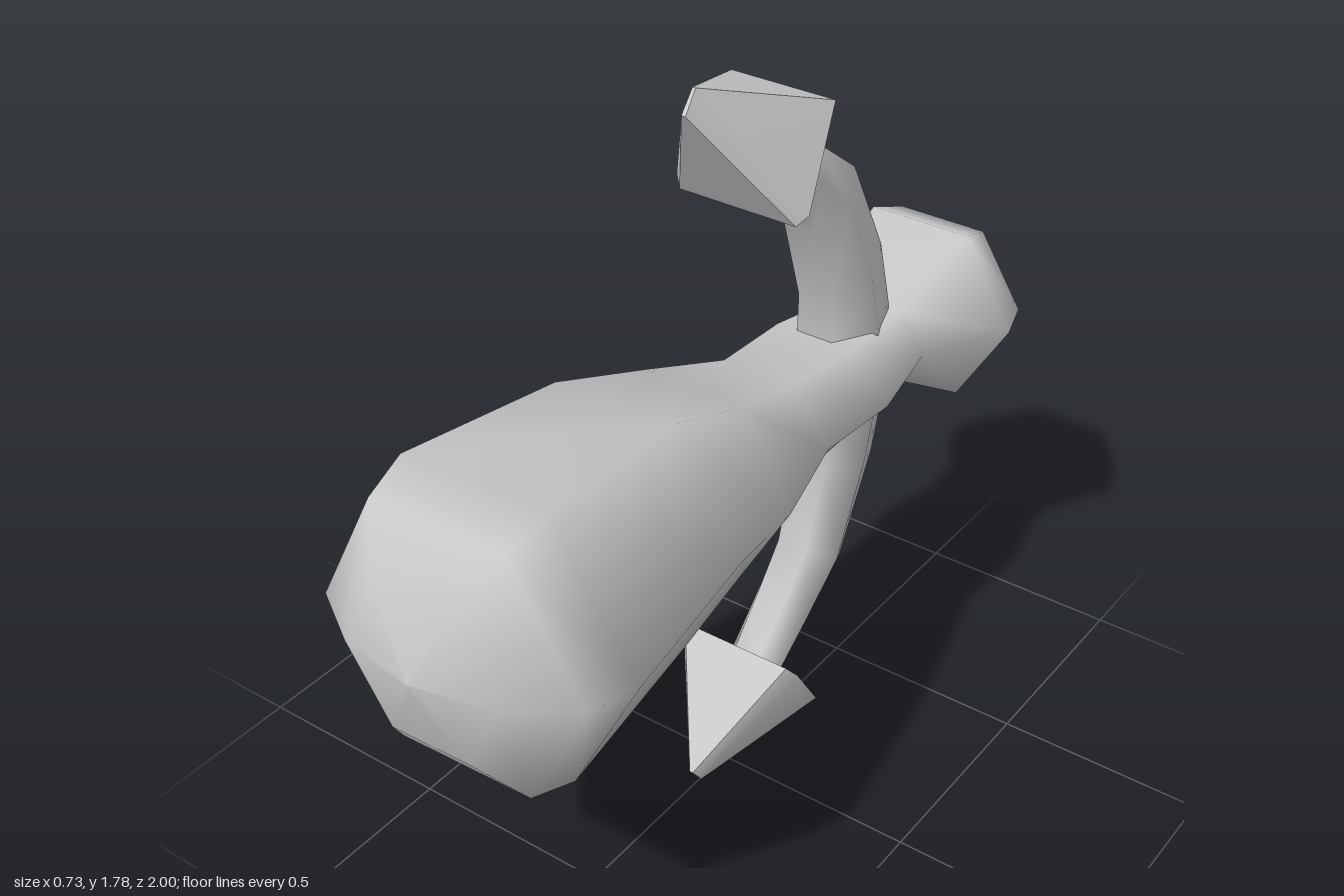
import * as THREE from 'three';
import { mergeVertices, toCreasedNormals } from 'three/addons/utils/BufferGeometryUtils.js';

const V = (x, y, z) => new THREE.Vector3(x, y, z);
const MID_Y = 0.89;

// Skin a list of equal-sized rings and close both ends with a fan.
function loft(rings) {
  const n = rings[0].length;
  const collapse = (ring) => {
    const c = V(0, 0, 0);
    ring.forEach((p) => c.addScaledVector(p, 1 / n));
    return ring.map(() => c);
  };
  const all = [collapse(rings[0]), ...rings, collapse(rings[rings.length - 1])];
  const pos = [];
  const tri = (a, b, c) => {
    if (a.distanceTo(b) > 1e-6 && b.distanceTo(c) > 1e-6 && c.distanceTo(a) > 1e-6) {
      for (const p of [a, b, c]) pos.push(p.x, p.y, p.z);
    }
  };
  for (let i = 0; i < all.length - 1; i++) {
    for (let j = 0; j < n; j++) {
      const k = (j + 1) % n;
      tri(all[i][j], all[i][k], all[i + 1][k]);
      tri(all[i][j], all[i + 1][k], all[i + 1][j]);
    }
  }
  const geo = new THREE.BufferGeometry();
  geo.setAttribute('position', new THREE.Float32BufferAttribute(pos, 3));
  const welded = mergeVertices(geo, 1e-5);
  welded.computeVertexNormals();
  return welded;
}

// Six-sided ring: half-extent rx along a, flat-to-flat half-extent rb along b.
function hexRing(center, a, b, rx, rb, twist = 0) {
  return Array.from({ length: 6 }, (_, i) => {
    const t = (i * Math.PI) / 3 + twist;
    return center.clone()
      .addScaledVector(a, Math.cos(t) * rx)
      .addScaledVector(b, (Math.sin(t) * rb) / 0.866);
  });
}

export function createModel() {
  const group = new THREE.Group();
  const mat = new THREE.MeshStandardMaterial({ color: 0xcccccc });
  const X = V(1, 0, 0), Y = V(0, 1, 0);
  const add = (parent, name, geo) => {
    const mesh = new THREE.Mesh(geo, mat);
    mesh.name = name;
    parent.add(mesh);
  };

  // Handle, waist and rear knob: [z, half width, bottom y, top y]
  const sections = [
    [-1, 0.003, 0.888, 0.892],
    [-0.91, 0.225, 0.715, 1.07],
    [-0.8, 0.26, 0.675, 1.11],
    [-0.59, 0.147, 0.8, 0.985],
    [-0.35, 0.2, 0.785, 1.01],
    [-0.13, 0.185, 0.765, 1.025],
    [0.11, 0.25, 0.675, 1.11],
    [0.36, 0.3, 0.655, 1.2],
    [0.77, 0.365, 0.605, 1.24],
    [0.88, 0.33, 0.635, 1.21],
    [0.965, 0.195, 0.75, 1.09],
    [1, 0.003, 0.918, 0.922],
  ];
  add(group, 'handle', loft(sections.map(([z, rx, y0, y1]) =>
    hexRing(V(0, (y0 + y1) / 2, z), X, Y, rx, (y1 - y0) / 2, z > 0.3 ? 0.04 : 0))));

  // Curved arm: [y, z, half width, half depth]
  const path = [
    [0.9, -0.47, 0.1, 0.125],
    [1.0, -0.47, 0.095, 0.12],
    [1.14, -0.45, 0.085, 0.108],
    [1.365, -0.355, 0.08, 0.09],
    [1.475, -0.235, 0.075, 0.07],
    [1.6, -0.09, 0.068, 0.05],
  ];
  const armRings = path.map(([y, z, rx, rb], i) => {
    const p = path[Math.max(i - 1, 0)], q = path[Math.min(i + 1, path.length - 1)];
    const forward = V(0, q[0] - p[0], q[1] - p[1]).normalize();
    return hexRing(V(0, y, z), X, forward.clone().cross(X), rx, rb);
  });
  const armGeo = loft(armRings);

  // Barbed tip: a tapered pyramid with clipped inner corners and a small edge at its point
  const U = V(0, 0.795, -0.606);
  const outline = [[0.145, -0.133], [0.165, -0.103], [0.128, 0.133],
    [-0.128, 0.133], [-0.165, -0.103], [-0.145, -0.133]];
  const tipRing = (y, z, sx, su) => outline.map(([x, u]) =>
    V(x * sx, y, z).addScaledVector(U, u * su));
  const tipGeo = toCreasedNormals(loft([
    tipRing(1.57, -0.125, 1, 1),
    tipRing(1.756, 0.115, 0.03, 0.22),
  ]), 0.7);

  // Upper arm, and its mirror image below
  for (const [name, s] of [['upper', 1], ['lower', -1]]) {
    const side = new THREE.Group();
    side.name = name + 'Arm';
    add(side, name + 'ArmCurve', armGeo);
    add(side, name + 'ArmTip', tipGeo);
    side.scale.y = s;
    side.position.y = s > 0 ? 0 : 2 * MID_Y;
    group.add(side);
  }
  return group;
}
